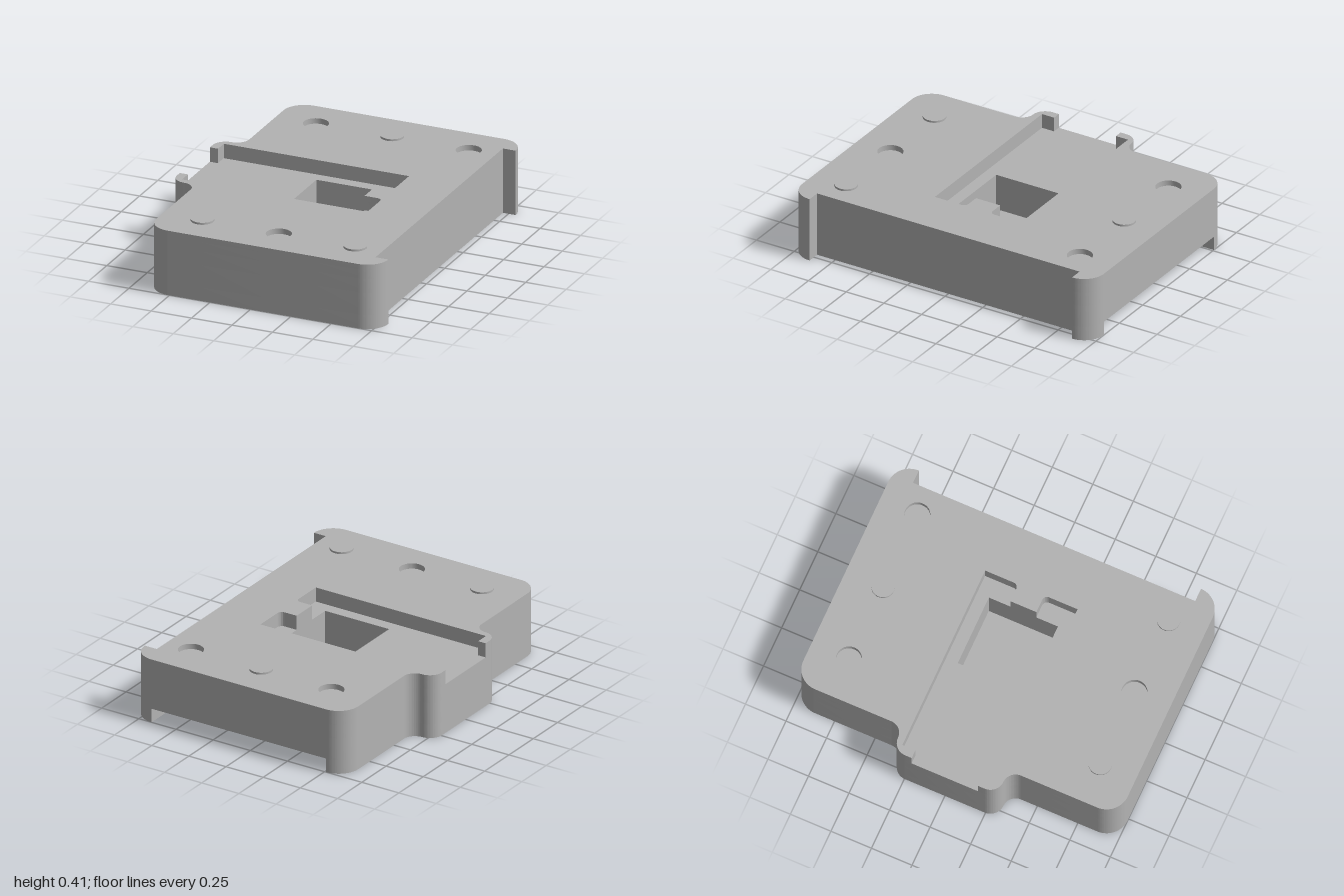
import * as THREE from 'three';
import { toCreasedNormals } from 'three/addons/utils/BufferGeometryUtils.js';

const PI = Math.PI;
const TOP = 0.393;

// Plan outline in (x, z); optional top channel and back undercut
function outline({ channel = false, undercut = false }) {
  const s = new THREE.Shape();
  const lines = (...pts) => pts.forEach(([x, z]) => s.lineTo(x, z));
  s.moveTo(-0.51, -1);
  if (undercut) lines([-0.51, -0.65], [0.665, -0.65]);
  lines([0.665, -1]);
  // right side with hooked corners
  s.absarc(0.665, -0.87, 0.13, -PI / 2, 0, false);
  lines([0.715, -0.87], [0.715, 0.87], [0.795, 0.87]);
  s.absarc(0.665, 0.87, 0.13, 0, PI / 2, false);
  lines([-0.51, 1]);
  s.absarc(-0.51, 0.87, 0.13, PI / 2, PI, false);
  // side tab with S-shaped shoulders
  lines([-0.64, 0.4]);
  s.absarc(-0.715, 0.4, 0.075, 0, -PI / 2, true);
  s.absarc(-0.715, 0.245, 0.08, PI / 2, PI, false);
  if (channel) {
    lines([-0.795, 0.205], [-0.745, 0.205], [-0.745, 0.285], [0.4, 0.285], [0.4, 0.11]);
    s.absarc(0.37, 0.11, 0.03, 0, -PI / 2, true);
    lines([0.29, 0.08], [0.29, -0.08], [0.37, -0.08]);
    s.absarc(0.37, -0.11, 0.03, PI / 2, 0, true);
    lines([0.4, -0.285], [-0.745, -0.285], [-0.745, -0.205], [-0.795, -0.205]);
  }
  lines([-0.795, -0.245]);
  s.absarc(-0.715, -0.245, 0.08, PI, 1.5 * PI, false);
  s.absarc(-0.715, -0.4, 0.075, PI / 2, 0, true);
  lines([-0.64, -0.87]);
  s.absarc(-0.51, -0.87, 0.13, PI, 1.5 * PI, false);
  return s;
}

function circle(x, z, r) {
  const p = new THREE.Path();
  p.absarc(x, z, r, 0, 2 * PI, false);
  return p;
}

// Square pocket under the channel
function pocket() {
  const p = new THREE.Path();
  p.moveTo(-0.14, -0.213);
  p.lineTo(0.29, -0.213);
  p.lineTo(0.29, 0.213);
  p.lineTo(-0.14, 0.213);
  p.closePath();
  return p;
}

// Round hole in the underside with one flat edge
function flatSidedHole() {
  const p = new THREE.Path();
  const a = 0.8;
  p.absarc(0.14, 0.4, 0.11, -a, PI + a, false);
  p.closePath();
  return p;
}

export function createModel() {
  const group = new THREE.Group();
  const grey = new THREE.MeshStandardMaterial({ color: 0xb3b3b3 });
  grey.name = 'grey';

  const add = (name, geometry) => {
    const mesh = new THREE.Mesh(geometry, grey);
    mesh.name = name;
    group.add(mesh);
    return mesh;
  };

  const layer = (name, y0, y1, options, holes) => {
    const shape = outline(options);
    shape.holes.push(...holes);
    const g = new THREE.ExtrudeGeometry(shape, { depth: y1 - y0, bevelEnabled: false, curveSegments: 20 });
    g.rotateX(PI / 2);
    g.translate(0, y1, 0);
    add(name, toCreasedNormals(g, 0.5));
  };

  // Alternating sockets and pegs in two rows
  const sockets = [];
  const pegs = [];
  [-0.77, 0.78].forEach((z, row) => {
    [-0.395, 0.077, 0.55].forEach((x, i) => {
      ((row + i) % 2 === 0 ? sockets : pegs).push([x, z]);
    });
  });

  // Body, stacked from the underside up
  layer('baseLayer', 0, 0.085, { undercut: true }, [flatSidedHole()]);
  layer('lowerBody', 0.085, 0.22, {}, [pocket(), flatSidedHole()]);
  layer('upperBody', 0.22, 0.305, {}, [pocket()]);
  layer('channelLayer', 0.305, 0.36, { channel: true }, []);
  layer('topLayer', 0.36, TOP, { channel: true }, sockets.map(([x, z]) => circle(x, z, 0.074)));

  // Raised pegs
  pegs.forEach(([x, z]) => {
    const peg = add('peg', new THREE.CylinderGeometry(0.067, 0.067, 0.022, 40));
    peg.position.set(x, TOP + 0.001, z);
  });

  return group;
}
